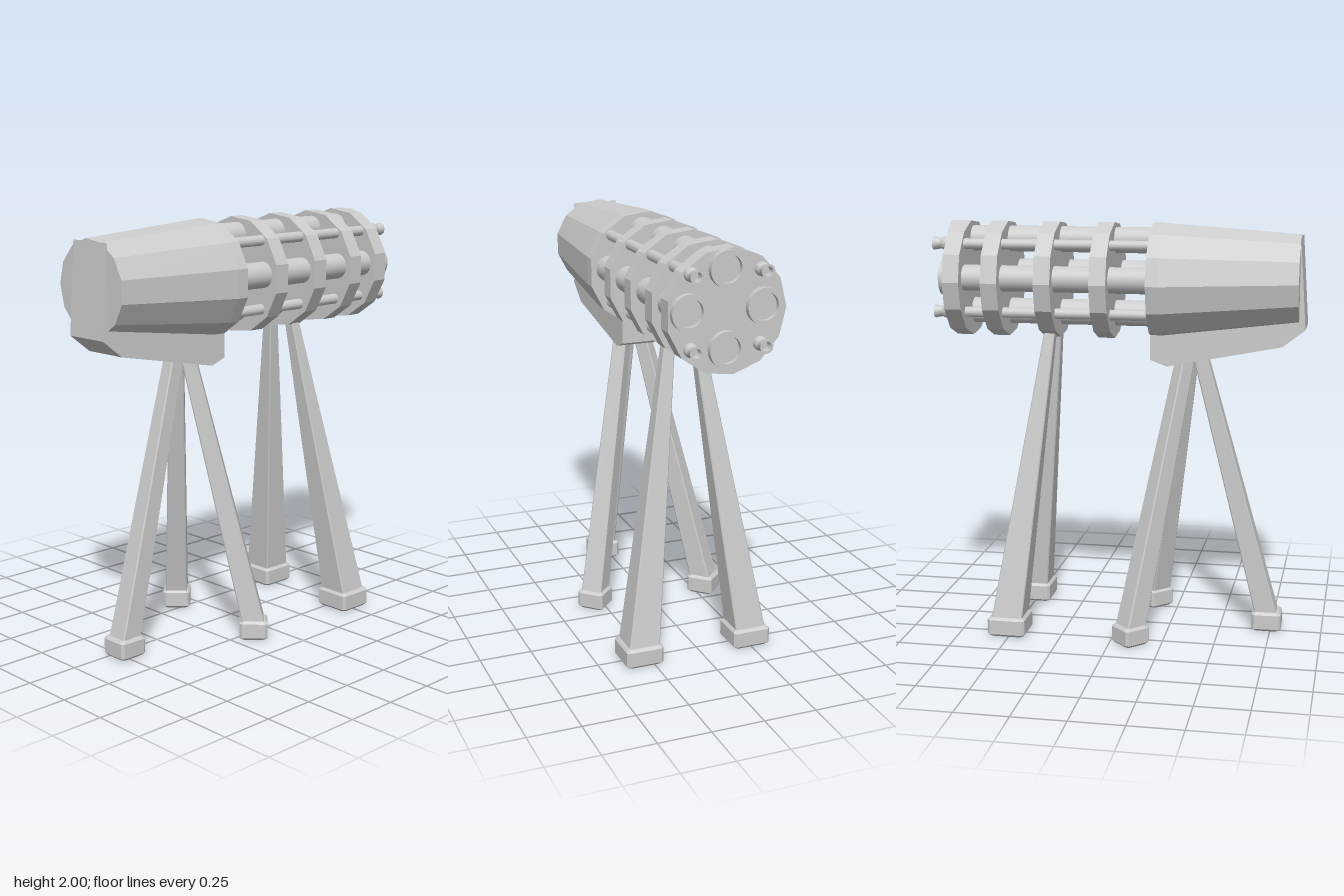
import * as THREE from 'three';
import { toCreasedNormals } from 'three/addons/utils/BufferGeometryUtils.js';

const flat = new THREE.MeshStandardMaterial({ color: 0xcccccc, flatShading: true });
const smooth = new THREE.MeshStandardMaterial({ color: 0xcccccc });
const AXIS_Y = 1.725, AXIS_Z = 0.005;
const SIDES = 13;

// Turned solid lying along x; profile is a list of [x, radius], rear to front
function turned(profile, sides, y, z) {
  const points = profile.map(([x, r]) => new THREE.Vector2(r, x));
  const g = new THREE.LatheGeometry(points, sides, Math.PI);
  g.rotateZ(-Math.PI / 2);
  g.translate(0, y, z);
  return g;
}

// Loft through level rectangles: [x, y, z, half width, half depth], with cut corners and a turn about y
function loft(sections, chamfer = 0, turn = 0) {
  const pos = [], index = [];
  const c = Math.cos(turn), s = Math.sin(turn);
  const n = 8;
  for (const [x, y, z, w, d] of sections) {
    const a = w - chamfer, b = d - chamfer;
    const corners = [[w, -b], [w, b], [a, d], [-a, d], [-w, b], [-w, -b], [-a, -d], [a, -d]];
    for (const [u, v] of corners) pos.push(x + u * c + v * s, y, z - u * s + v * c);
  }
  for (let k = 0; k < sections.length - 1; k++) {
    for (let i = 0; i < n; i++) {
      const a = k * n + i, b = k * n + (i + 1) % n;
      index.push(a, a + n, b, b, a + n, b + n);
    }
  }
  const top = (sections.length - 1) * n;
  for (let i = 1; i < n - 1; i++) {
    index.push(0, i, i + 1, top, top + i + 1, top + i);
  }
  const g = new THREE.BufferGeometry();
  g.setAttribute('position', new THREE.Float32BufferAttribute(pos, 3));
  g.setIndex(index);
  const out = g.toNonIndexed();
  out.computeVertexNormals();
  return out;
}

export function createModel() {
  const model = new THREE.Group();
  const add = (name, geometry, material = flat, parent = model) => {
    const mesh = new THREE.Mesh(geometry, material);
    mesh.name = name;
    parent.add(mesh);
    return mesh;
  };

  // Tapered rear housing, its rear end slightly raised
  const housing = turned([[-0.86, 0], [-0.86, 0.218], [-0.22, 0.279], [-0.16, 0.279], [-0.16, 0]],
    SIDES, AXIS_Y, AXIS_Z);
  const p = housing.attributes.position;
  for (let i = 0; i < p.count; i++) {
    p.setY(i, p.getY(i) + 0.015 * Math.max(0, (-0.22 - p.getX(i)) / 0.64));
  }
  add('housing', housing);

  // Keel under the housing, running up its rear face
  const keel = new THREE.Shape([
    [-0.86, 1.945], [-0.89, 1.52], [-0.785, 1.438], [-0.24, 1.33], [-0.16, 1.36],
    [-0.16, 1.47], [-0.2, 1.6], [-0.8, 1.7], [-0.845, 1.85],
  ].map(([x, y]) => new THREE.Vector2(x, y)));
  const keelGeometry = new THREE.ExtrudeGeometry(keel, { depth: 0.23, bevelEnabled: false });
  keelGeometry.translate(0, 0, AXIS_Z - 0.115);
  add('keel', keelGeometry);

  // Clamp discs along the barrel cluster
  for (const x of [0.025, 0.29, 0.545, 0.73]) {
    add('clampDisc', turned([[x, 0], [x, 0.279], [x + 0.08, 0.279], [x + 0.08, 0]],
      SIDES, AXIS_Y, AXIS_Z));
  }

  // Four large barrels with rimmed muzzles, and four thin rods with flared tips
  const large = [[-0.18, 0], [-0.18, 0.062], [0.8, 0.062], [0.8, 0.082], [0.838, 0.082],
    [0.838, 0.062], [0.815, 0.062], [0.815, 0]];
  const thin = [[-0.18, 0], [-0.18, 0.025], [0.81, 0.025], [0.81, 0.032], [0.83, 0.032],
    [0.845, 0.025], [0.882, 0.032], [0.882, 0.022], [0.84, 0.022], [0.84, 0]];
  const barrels = new THREE.Group();
  barrels.name = 'barrels';
  model.add(barrels);
  for (let i = 0; i < 4; i++) {
    const a = i * Math.PI / 2, b = a + Math.PI / 4;
    add('largeBarrel', toCreasedNormals(
      turned(large, 24, 1.74 + 0.175 * Math.sin(a), 0.013 + 0.175 * Math.cos(a)), 0.6), smooth, barrels);
    add('thinRod', toCreasedNormals(
      turned(thin, 12, 1.738 + 0.23 * Math.sin(b), 0.013 + 0.23 * Math.cos(b)), 0.6), smooth, barrels);
  }

  // Tapered legs, each on a chamfered foot
  const leg = (name, foot, top, footHalf, lowHalf, topHalf, turn) => {
    const group = new THREE.Group();
    group.name = name;
    model.add(group);
    const [x, z] = foot;
    const e = 0.012;
    add('foot', loft([
      [x, 0.005, z, footHalf - e, footHalf - e], [x, 0.005 + e, z, footHalf, footHalf],
      [x, 0.088, z, footHalf, footHalf], [x, 0.1, z, footHalf - e, footHalf - e],
    ], e, turn), flat, group);
    add('strut', loft([
      [x, 0.08, z, lowHalf, lowHalf], [...top, topHalf, topHalf],
    ], 0.005, turn), flat, group);
  };
  leg('rearLeg', [-0.73, 0.037], [-0.38, 1.4, 0.012], 0.072, 0.054, 0.034, 0);
  leg('middleLegRight', [-0.1, -0.3], [-0.325, 1.4, -0.035], 0.068, 0.054, 0.034, Math.PI / 4);
  leg('middleLegLeft', [-0.13, 0.29], [-0.335, 1.4, 0.05], 0.068, 0.054, 0.034, Math.PI / 4);
  leg('frontLegRight', [0.511, -0.25], [0.332, 1.5, -0.06], 0.092, 0.076, 0.026, 0);
  leg('frontLegLeft', [0.511, 0.297], [0.332, 1.5, 0.08], 0.092, 0.076, 0.026, 0);

  return model;
}
